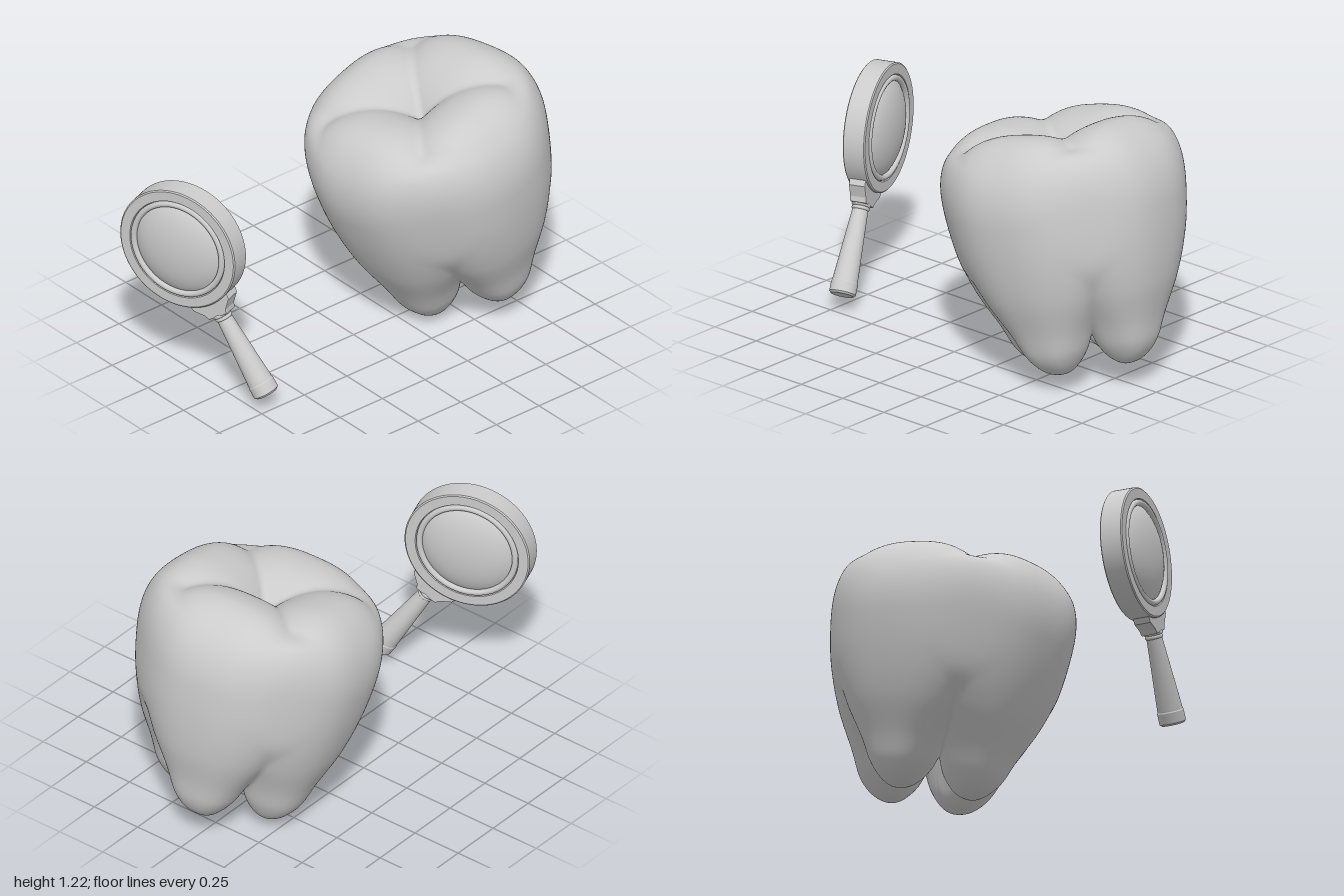
import * as THREE from 'three';
import { mergeVertices } from 'three/addons/utils/BufferGeometryUtils.js';

const material = new THREE.MeshStandardMaterial({ color: 0xcccccc, roughness: 0.6 });

function addMesh(parent, name, geometry) {
  const mesh = new THREE.Mesh(geometry, material);
  mesh.name = name;
  parent.add(mesh);
  return mesh;
}

// Lobe cross-sections at even heights y = 0, 0.2 ... 1.2
const STEP = 0.2;
const spline = (pairs) => new THREE.SplineCurve(pairs.map(([a, b]) => new THREE.Vector2(a, b)));
// [centre distance from the axis, outward half depth]
const outerCurve = spline([[0.225, 0.11], [0.23, 0.165], [0.25, 0.23], [0.28, 0.255], [0.3, 0.265], [0.31, 0.265], [0.31, 0.265]]);
// [inward half depth, half width]
const innerCurve = spline([[0.1, 0.1], [0.14, 0.18], [0.21, 0.3], [0.3, 0.4], [0.36, 0.42], [0.36, 0.42], [0.36, 0.42]]);
const outer = new THREE.Vector2(), inner = new THREE.Vector2();

// Smooth minimum of two field values
function blendMin(a, b, k) {
  const h = Math.max(k - Math.abs(a - b), 0);
  return Math.min(a, b) - (h * h) / (4 * k);
}

// Four lobes, each a cusp above and a root below, trimmed by a round body; negative inside
function toothField(x, y, z) {
  const t = THREE.MathUtils.clamp(y / (STEP * 6), 0, 1);
  outerCurve.getPoint(t, outer);
  innerCurve.getPoint(t, inner);
  // Rounding of the root tips and cusp tops
  let size = 1;
  if (y < 0.15) size = 1 - ((0.15 - y) / 0.13) ** 2;
  if (y > 0.76) size = 1 - ((y - 0.76) / 0.38) ** 2;
  // Sharp grooves on the chewing face and between roots, soft blend on the wall
  const r = Math.hypot(x, z);
  const blend = 0.02 + 0.12 * THREE.MathUtils.smoothstep(r, 0.38, 0.52)
    * THREE.MathUtils.smoothstep(y, 0.34, 0.62);
  let d = 10;
  for (const [a, b] of [[z, x], [x, z], [-z, x], [-x, z]]) {
    const da = a - outer.x;
    const e = (da / (da > 0 ? outer.y : inner.x)) ** 2 + Math.abs(b / inner.y) ** 2.6;
    d = blendMin(d, (e - size) * 0.15, blend);
  }
  // Nearly round outline, slightly flatter at the grooves
  const corner = r > 0 ? (2 * x * z / (r * r)) ** 2 : 0;
  const limit = (outer.x + outer.y + 0.015) * (1 - 0.055 * corner);
  return -blendMin(-d, -(r / limit - 1) * 0.4, 0.05);
}

// Pull a sphere's vertices onto the tooth surface along rays from its middle
function toothGeometry() {
  const midY = 0.72;
  let geometry = new THREE.SphereGeometry(1, 200, 150);
  geometry.deleteAttribute('uv');
  geometry.deleteAttribute('normal');
  geometry = mergeVertices(geometry, 1e-5);
  const pos = geometry.attributes.position;
  const dir = new THREE.Vector3();
  for (let i = 0; i < pos.count; i++) {
    dir.fromBufferAttribute(pos, i).normalize();
    const field = (r) => toothField(dir.x * r, midY + dir.y * r, dir.z * r);
    let r = 1;
    while (r > 0.04 && field(r) > 0) r -= 0.02;
    let lo = r, hi = r + 0.02;
    for (let k = 0; k < 12; k++) {
      const m = (lo + hi) / 2;
      if (field(m) > 0) hi = m; else lo = m;
    }
    pos.setXYZ(i, dir.x * lo, midY + dir.y * lo, dir.z * lo);
  }
  geometry.computeVertexNormals();
  return geometry;
}

// Lathe with hard corners: each straight run gets its own points
function hardLathe(parent, name, points, segments) {
  const group = new THREE.Group();
  group.name = name;
  for (let i = 0; i + 1 < points.length; i++) {
    const run = [points[i], points[i + 1]].map(([r, y]) => new THREE.Vector2(r, y));
    addMesh(group, name + 'Band', new THREE.LatheGeometry(run, segments));
  }
  parent.add(group);
  return group;
}

function createMagnifier() {
  const glass = new THREE.Group();
  glass.name = 'magnifyingGlass';

  // Rim: stepped ring around the lens
  const rim = hardLathe(glass, 'rim', [
    [0.205, -0.04], [0.242, -0.04], [0.246, -0.054], [0.292, -0.054], [0.298, -0.049],
    [0.298, 0.049], [0.292, 0.054], [0.246, 0.054], [0.242, 0.04], [0.205, 0.04],
  ], 96);
  rim.rotation.x = Math.PI / 2;

  // Bead rings and bulging lens
  for (const side of [-1, 1]) {
    const bead = addMesh(glass, 'lensBead', new THREE.TorusGeometry(0.228, 0.014, 14, 96));
    bead.position.z = side * 0.047;
  }
  const lens = addMesh(glass, 'lens', new THREE.SphereGeometry(0.24, 64, 40));
  lens.rotation.x = Math.PI / 2;
  lens.scale.y = 0.4;

  // Handle assembly hangs from the rim at an angle
  const handle = new THREE.Group();
  handle.name = 'handleAssembly';
  handle.rotation.z = 0.585;
  glass.add(handle);

  // Tapered bracket
  const outline = new THREE.Shape();
  [[-0.11, -0.27], [-0.105, -0.3], [-0.06, -0.34], [-0.05, -0.36],
    [0.05, -0.36], [0.06, -0.34], [0.105, -0.3], [0.11, -0.27]]
    .forEach(([x, y], i) => (i ? outline.lineTo(x, y) : outline.moveTo(x, y)));
  const bracket = new THREE.ExtrudeGeometry(outline, {
    depth: 0.068, bevelThickness: 0.006, bevelSize: 0.006, bevelSegments: 2,
  });
  bracket.translate(0, 0, -0.034);
  addMesh(handle, 'bracket', bracket);

  // Collar rings, tapered grip and end cap
  for (const [y, r] of [[-0.366, 0.036], [-0.383, 0.033]]) {
    const ring = addMesh(handle, 'collarRing', new THREE.TorusGeometry(r, 0.009, 12, 40));
    ring.rotation.x = Math.PI / 2;
    ring.position.y = y;
  }
  hardLathe(handle, 'grip', [[0, -0.788], [0.052, -0.788], [0.061, -0.779], [0.061, -0.73],
    [0.058, -0.725], [0.058, -0.72], [0.036, -0.39], [0.034, -0.35]], 48);

  glass.position.set(-0.182, 0.735, 0.85);
  glass.rotation.y = 0.35;
  return glass;
}

export function createModel() {
  const model = new THREE.Group();
  model.name = 'toothAndMagnifier';

  // Tooth leans forward a little
  const tooth = addMesh(model, 'tooth', toothGeometry());
  tooth.rotation.set(0.24, 0.14, 0.05, 'XZY');
  tooth.position.set(0.04, 0.035, -0.635);

  model.add(createMagnifier());
  return model;
}
